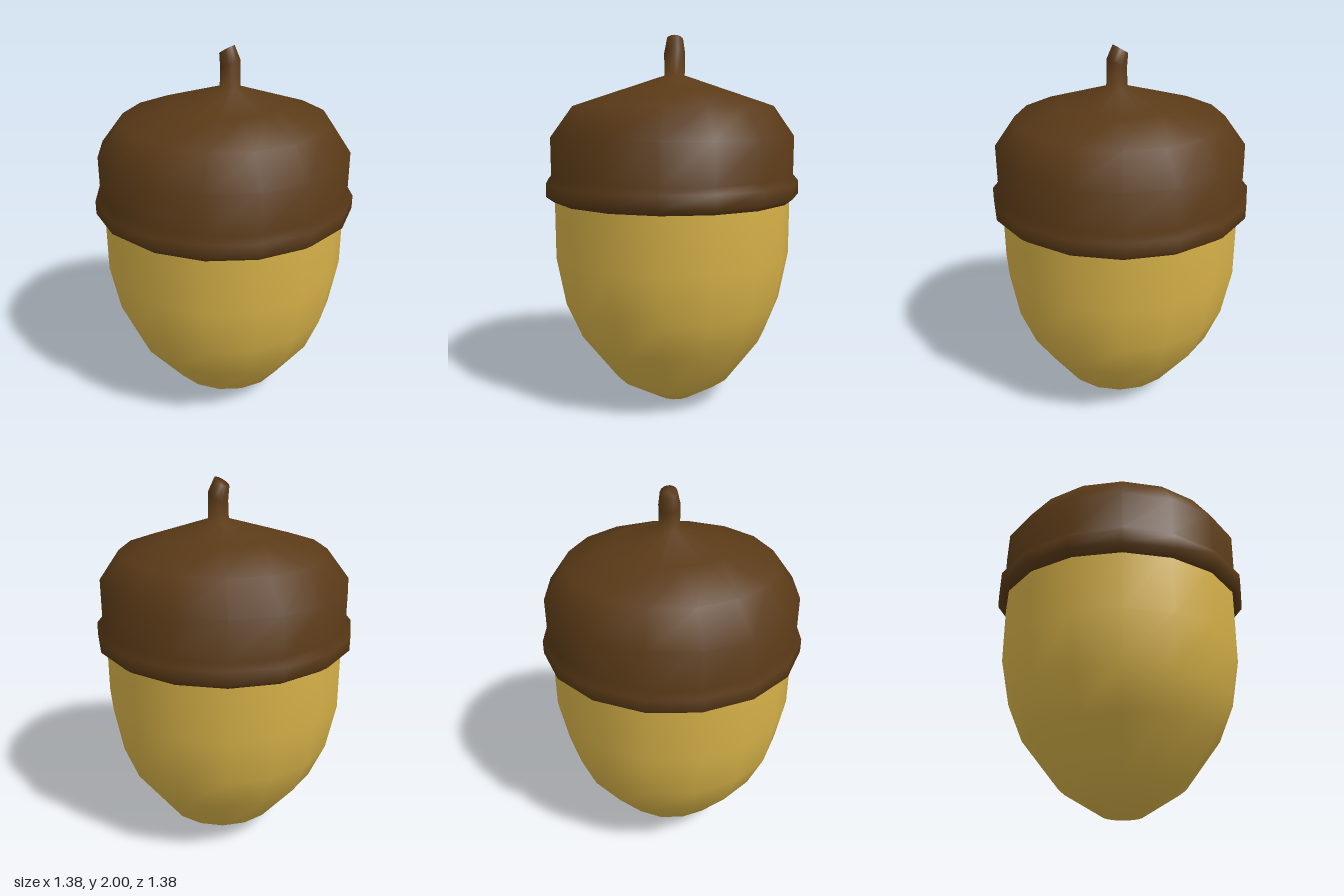
import * as THREE from 'three';

const SIDES = 16;

// Skins a stack of rings, bottom to top; each ring is [x, y, z, radius, tilt about z].
function skinRings(name, rings, color) {
  const positions = [];
  const index = [];
  rings.forEach(([x, y, z, r, tilt = 0], k) => {
    for (let i = 0; i < SIDES; i++) {
      const a = (i / SIDES) * Math.PI * 2;
      const u = r * Math.cos(a);
      positions.push(x + u * Math.cos(tilt), y + u * Math.sin(tilt), z + r * Math.sin(a));
      if (k === 0) continue;
      const j = (i + 1) % SIDES;
      const low = (k - 1) * SIDES;
      const high = k * SIDES;
      // Skip the empty half of each quad where a ring closes to a point
      if (rings[k - 1][3] > 0) index.push(low + i, high + i, low + j);
      if (r > 0) index.push(low + j, high + i, high + j);
    }
  });
  const geometry = new THREE.BufferGeometry();
  geometry.setAttribute('position', new THREE.Float32BufferAttribute(positions, 3));
  geometry.setIndex(index);
  geometry.computeVertexNormals();
  const mesh = new THREE.Mesh(geometry, new THREE.MeshStandardMaterial({ color }));
  mesh.name = name;
  return mesh;
}

export function createModel() {
  const group = new THREE.Group();
  group.name = 'acorn';

  // Nut, slightly off-centre towards its tip
  group.add(skinRings('nut', [
    [0.023, 0, -0.02, 0],
    [0.023, 0, -0.02, 0.104],
    [0.016, 0.13, -0.01, 0.323],
    [0.006, 0.38, -0.005, 0.516],
    [0.003, 0.575, 0, 0.597],
    [0, 0.83, 0, 0.645],
    [0, 1.16, 0, 0.645],
  ], 0xd8b349));

  // Cap with rolled rim, running smoothly into the bent stem
  group.add(skinRings('capAndStem', [
    [0, 1.14, 0, 0.6],
    [0, 1.13, 0, 0.65],
    [0, 1.16, 0, 0.69],
    [0, 1.23, 0, 0.69],
    [0, 1.265, 0, 0.661],
    [0, 1.47, 0, 0.661],
    [0.005, 1.63, -0.004, 0.545],
    [0.015, 1.71, -0.01, 0.3],
    [0.027, 1.79, -0.018, 0.054],
    [0.028, 1.905, -0.018, 0.056, 0.45],
    [0.008, 1.977, -0.018, 0.044, 0.54],
    [0.008, 1.977, -0.018, 0, 0.54],
  ], 0x5a3a17));

  return group;
}
